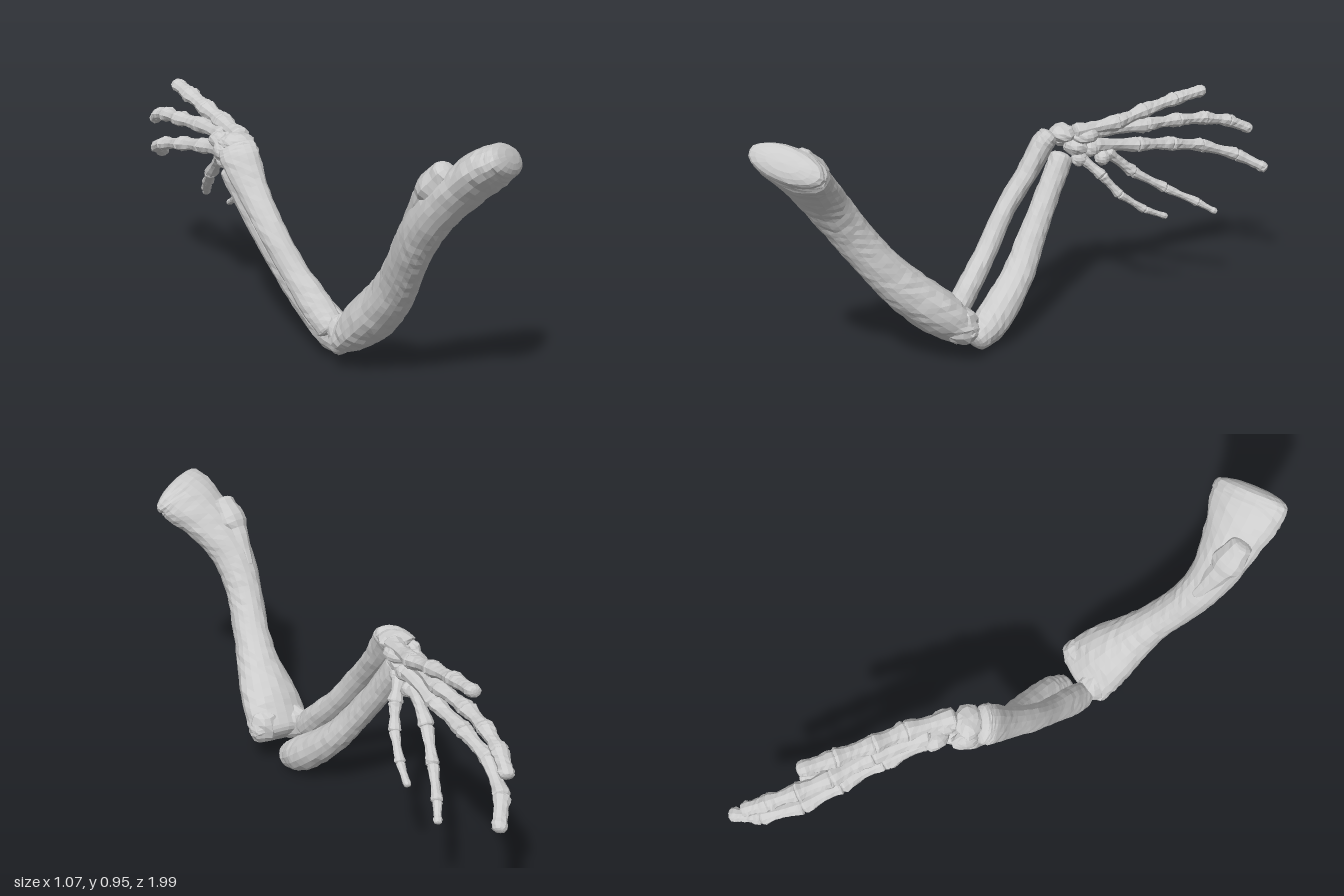
import * as THREE from 'three';

const V = (x, y, z) => new THREE.Vector3(x, y, z);
const material = new THREE.MeshStandardMaterial({ color: 0xcccccc, flatShading: true });

// Repeatable value in -1..1 for the worn bone surface
const rough = (i, j, seed) => {
  const s = Math.sin(i * 12.9898 + j * 78.233 + seed * 37.719) * 43758.5453;
  return (s - Math.floor(s)) * 2 - 1;
};

// Lofted bone: stations are [x, y, z, wideRadius, thinRadius]; wide is the direction of the broad axis
function bone(name, stations, wide, { rows = 24, sides = 16, wear = 0.04, dome = 0.5, seed = 1 } = {}) {
  const path = new THREE.CatmullRomCurve3(stations.map(s => V(s[0], s[1], s[2])));
  const size = new THREE.CatmullRomCurve3(stations.map(s => V(s[3], s[4], 0)));
  const rings = [];
  const capSteps = [0, 0.45, 0.75, 0.93];
  capSteps.forEach(k => rings.push([0, k, -1]));
  for (let i = 0; i <= rows; i++) rings.push([i / rows, 1, 0]);
  [...capSteps].reverse().forEach(k => rings.push([1, k, 1]));

  const positions = [], index = [];
  rings.forEach(([u, scale, end], i) => {
    const t = path.getTangent(u);
    const w = wide.clone().addScaledVector(t, -wide.dot(t)).normalize();
    const b = t.clone().cross(w);
    const r = size.getPoint(u);
    const c = path.getPoint(u).addScaledVector(t, end * dome * r.y * Math.sqrt(1 - scale * scale));
    for (let j = 0; j < sides; j++) {
      const a = (j / sides) * Math.PI * 2;
      const k = scale * (1 + wear * rough(i, j, seed));
      const p = c.clone().addScaledVector(w, r.x * k * Math.cos(a)).addScaledVector(b, r.y * k * Math.sin(a));
      positions.push(p.x, p.y, p.z);
      if (i < rings.length - 1) {
        const n = (j + 1) % sides, p0 = i * sides, p1 = p0 + sides;
        index.push(p0 + j, p0 + n, p1 + j, p0 + n, p1 + n, p1 + j);
      }
    }
  });
  const g = new THREE.BufferGeometry();
  g.setAttribute('position', new THREE.Float32BufferAttribute(positions, 3));
  g.setIndex(index);
  g.computeVertexNormals();
  const mesh = new THREE.Mesh(g, material);
  mesh.name = name;
  return mesh;
}

// Small worn lump, used for wrist bones and joint knobs
function lump(name, [x, y, z], [sx, sy, sz], seed, turn = 0) {
  const g = new THREE.SphereGeometry(1, 12, 8);
  const p = g.attributes.position;
  for (let i = 0; i < p.count; i++) {
    const v = V(p.getX(i), p.getY(i), p.getZ(i));
    const k = 1 + 0.09 * Math.sin(v.x * 5 + seed) * Math.cos(v.y * 4 + v.z * 5 + seed);
    p.setXYZ(i, v.x * k, v.y * k, v.z * k);
  }
  g.computeVertexNormals();
  const mesh = new THREE.Mesh(g, material);
  mesh.name = name;
  mesh.position.set(x, y, z);
  mesh.scale.set(sx, sy, sz);
  mesh.rotation.y = turn;
  return mesh;
}

// Chain of waisted finger bones between joints, narrowing to the tip
function finger(name, joints, r0, r1, seed) {
  const group = new THREE.Group();
  group.name = name;
  const n = joints.length - 1;
  for (let i = 0; i < n; i++) {
    const a = V(...joints[i]), b = V(...joints[i + 1]);
    const last = i === n - 1;
    const r = THREE.MathUtils.lerp(r0, r1, i / Math.max(1, n - 1));
    const widths = last ? [1, 0.85, 0.78, 0.8, 0.8] : [1, 0.82, 0.74, 0.8, 1];
    const stations = widths.map((k, s) => {
      const p = a.clone().lerp(b, 0.06 + 0.88 * s / 4);
      return [p.x, p.y, p.z, r * k, r * k * 0.8];
    });
    group.add(bone(last ? 'fingertip' : 'fingerBone', stations, V(1, 0.3, 0),
      { rows: 8, sides: 9, wear: 0.08, dome: 0.6, seed: seed + i }));
  }
  return group;
}

export function createModel() {
  const model = new THREE.Group();
  model.name = 'forelimbSkeleton';

  // Upper arm, broad at shoulder and elbow
  const upperWide = V(0.78, 0, -0.62);
  const upperArm = new THREE.Group();
  upperArm.name = 'upperArm';
  upperArm.add(bone('upperArmBone', [
    [0.1, 0.122, 0.312, 0.13, 0.064],
    [0.13, 0.20, 0.385, 0.122, 0.084],
    [0.165, 0.30, 0.485, 0.088, 0.08],
    [0.188, 0.40, 0.57, 0.068, 0.073],
    [0.202, 0.50, 0.645, 0.066, 0.07],
    [0.222, 0.60, 0.71, 0.073, 0.072],
    [0.265, 0.70, 0.77, 0.088, 0.073],
    [0.345, 0.80, 0.825, 0.115, 0.072],
    [0.415, 0.868, 0.865, 0.143, 0.07],
    [0.45, 0.893, 0.882, 0.14, 0.06],
  ], upperWide, { rows: 44, sides: 20, wear: 0.03, dome: 0.55 }));
  upperArm.add(lump('outerElbowKnob', [0.165, 0.15, 0.295], [0.06, 0.07, 0.064], 2));
  upperArm.add(lump('innerElbowKnob', [0.045, 0.135, 0.34], [0.062, 0.068, 0.06], 5));
  upperArm.add(bone('shoulderCrest', [
    [0.195, 0.64, 0.70, 0.025, 0.03],
    [0.23, 0.76, 0.775, 0.045, 0.042],
    [0.275, 0.85, 0.835, 0.045, 0.042],
  ], upperWide, { rows: 10, sides: 10 }));
  model.add(upperArm);

  // Two forearm bones
  const forearm = new THREE.Group();
  forearm.name = 'forearm';
  forearm.add(bone('rearForearmBone', [
    [0.066, 0.05, 0.232, 0.055, 0.052],
    [0.022, 0.092, 0.172, 0.07, 0.066],
    [-0.083, 0.22, 0.06, 0.056, 0.06],
    [-0.158, 0.34, -0.003, 0.05, 0.052],
    [-0.23, 0.48, -0.075, 0.049, 0.046],
    [-0.285, 0.60, -0.135, 0.052, 0.045],
  ], V(1, 0.4, 0.3), { rows: 32, seed: 3 }));
  forearm.add(bone('frontForearmBone', [
    [0.0, 0.14, 0.295, 0.052, 0.044],
    [-0.045, 0.21, 0.243, 0.056, 0.044],
    [-0.112, 0.315, 0.17, 0.048, 0.04],
    [-0.183, 0.45, 0.09, 0.05, 0.038],
    [-0.235, 0.57, 0.0, 0.058, 0.04],
    [-0.27, 0.67, -0.065, 0.072, 0.043],
    [-0.276, 0.69, -0.085, 0.07, 0.04],
  ], V(1, 0.3, 0.1), { rows: 32, seed: 7 }));
  model.add(forearm);

  // Wrist bones
  const wrist = new THREE.Group();
  wrist.name = 'wrist';
  [
    [[-0.27, 0.705, -0.135], [0.065, 0.032, 0.05]],
    [[-0.325, 0.67, -0.15], [0.032, 0.035, 0.05]],
    [[-0.285, 0.645, -0.19], [0.05, 0.035, 0.045]],
    [[-0.265, 0.695, -0.22], [0.05, 0.032, 0.055]],
    [[-0.315, 0.68, -0.245], [0.037, 0.035, 0.055]],
    [[-0.3, 0.63, -0.25], [0.037, 0.033, 0.05]],
    [[-0.27, 0.60, -0.20], [0.03, 0.03, 0.03]],
    [[-0.3, 0.59, -0.295], [0.03, 0.03, 0.035]],
  ].forEach(([at, size], i) => wrist.add(lump('wristBone', at, size, i * 1.7, i * 0.2)));
  model.add(wrist);

  // Five fingers, top to bottom
  const hand = new THREE.Group();
  hand.name = 'hand';
  hand.add(
    finger('firstFinger', [[-0.255, 0.71, -0.18], [-0.3, 0.725, -0.35], [-0.35, 0.75, -0.46],
      [-0.4, 0.773, -0.59], [-0.442, 0.79, -0.71]], 0.04, 0.034, 10),
    finger('secondFinger', [[-0.305, 0.695, -0.27], [-0.37, 0.685, -0.47], [-0.44, 0.675, -0.61],
      [-0.48, 0.663, -0.73], [-0.505, 0.64, -0.83], [-0.515, 0.597, -0.92]], 0.038, 0.032, 20),
    finger('thirdFinger', [[-0.30, 0.64, -0.26], [-0.365, 0.61, -0.44], [-0.435, 0.582, -0.585],
      [-0.495, 0.548, -0.72], [-0.512, 0.495, -0.87], [-0.483, 0.44, -0.985]], 0.038, 0.031, 30),
    finger('fourthFinger', [[-0.31, 0.61, -0.31], [-0.34, 0.51, -0.42], [-0.343, 0.435, -0.55],
      [-0.338, 0.37, -0.68], [-0.33, 0.33, -0.75]], 0.03, 0.018, 40),
    finger('fifthFinger', [[-0.275, 0.6, -0.21], [-0.25, 0.535, -0.285], [-0.24, 0.46, -0.35],
      [-0.247, 0.39, -0.45], [-0.262, 0.35, -0.54]], 0.028, 0.017, 50),
  );
  model.add(hand);
  return model;
}
